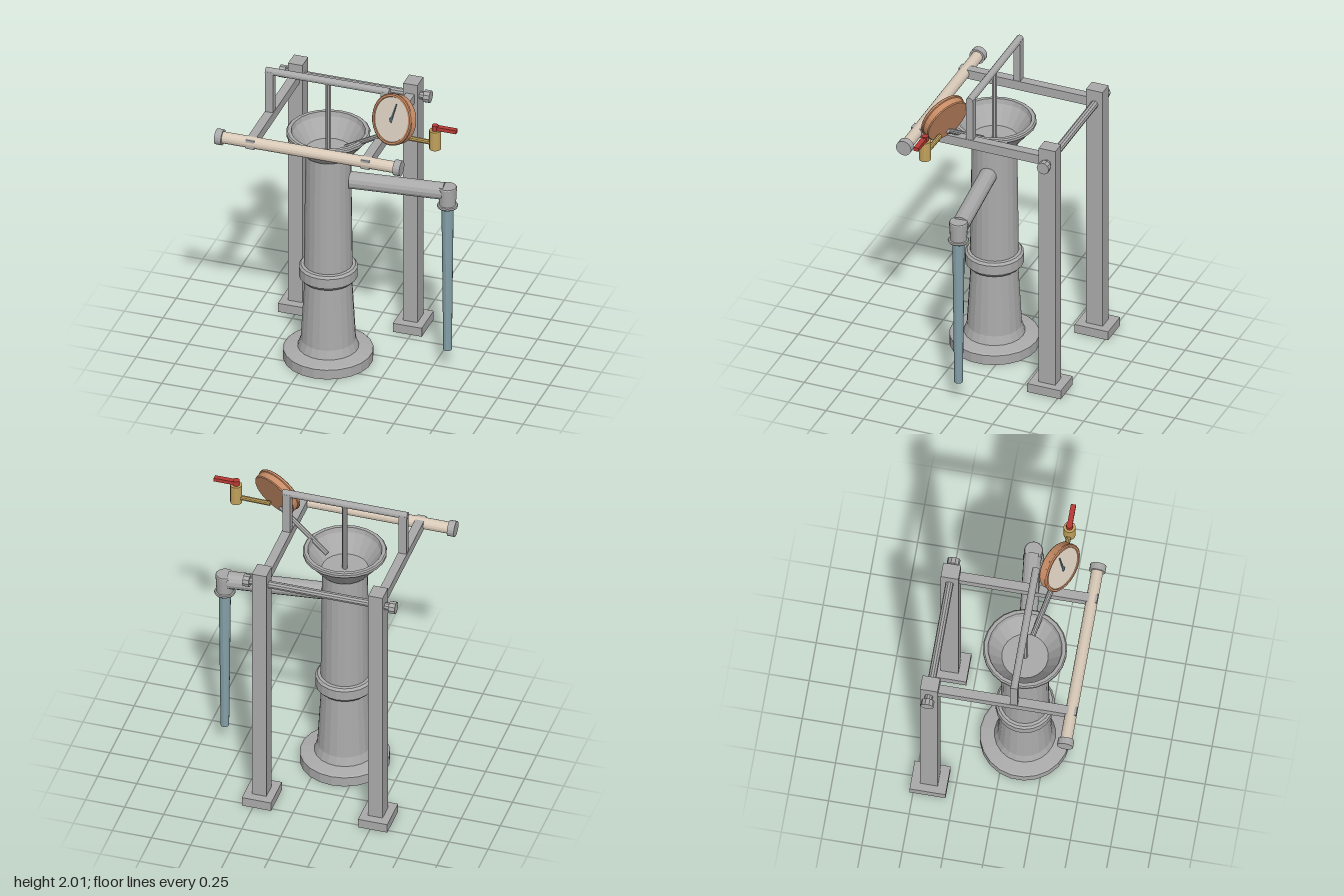
import * as THREE from 'three';

const mat = (name, color, flatShading = true) =>
  new THREE.MeshStandardMaterial({ name, color, flatShading, side: THREE.DoubleSide });

export function createModel() {
  const model = new THREE.Group();
  model.name = 'handPump';

  const steel = mat('steel grey', 0xaaaaaa);
  const wood = mat('pale wood', 0xd9cab8);
  const copper = mat('copper', 0xc88c66);
  const brass = mat('brass', 0xc2a25c);
  const red = mat('valve red', 0xb83a34);
  const hoseBlue = mat('hose blue grey', 0x84a0a8);
  const dialCream = mat('dial cream', 0xdccfc0);
  const needleDark = mat('needle slate', 0x4a6068);

  const add = (name, geo, material, x = 0, y = 0, z = 0, parent = model) => {
    const mesh = new THREE.Mesh(geo, material);
    mesh.name = name;
    mesh.position.set(x, y, z);
    parent.add(mesh);
    return mesh;
  };
  const box = (name, w, h, d, m, x, y, z) => add(name, new THREE.BoxGeometry(w, h, d), m, x, y, z);
  const lathe = (pts, sides) => new THREE.LatheGeometry(pts.map(p => new THREE.Vector2(...p)), sides);
  const UP = new THREE.Vector3(0, 1, 0);
  // Round bar between two points
  const rod = (name, a, b, r, m, sides = 12) => {
    const p = new THREE.Vector3(...a), q = new THREE.Vector3(...b);
    const mid = p.clone().add(q).multiplyScalar(0.5);
    const mesh = add(name, new THREE.CylinderGeometry(r, r, p.distanceTo(q), sides), m, mid.x, mid.y, mid.z);
    mesh.quaternion.setFromUnitVectors(UP, q.sub(p).normalize());
    return mesh;
  };

  // Pump column: hollow foot, tapered barrel, collar and open funnel with a floor
  const cx = -0.142, cz = 0.114;
  add('pumpColumn', lathe([
    [0.277, 0], [0.277, 0.065], [0.268, 0.072], [0.188, 0.085], [0.17, 0.14], [0.146, 0.56],
    [0.165, 0.565], [0.181, 0.585], [0.181, 0.65], [0.168, 0.665], [0.15, 0.668],
    [0.14, 1.45], [0.15, 1.452], [0.25, 1.575], [0.258, 1.58], [0.258, 1.598], [0.25, 1.606],
    [0.228, 1.606], [0.22, 1.575], [0.143, 1.465], [0, 1.465],
  ], 22), steel, cx, 0, cz);

  // Spout, elbow and hanging hose
  rod('spout', [-0.005, 1.272, 0.1], [0.58, 1.268, 0.036], 0.055, steel, 14);
  const hx = 0.603, hz = 0.038;
  add('spoutElbow', lathe([
    [0, 1.165], [0.062, 1.165], [0.066, 1.172], [0.062, 1.18], [0.052, 1.182],
    [0.058, 1.3], [0.054, 1.307], [0, 1.307],
  ], 18), steel, hx, 0, hz);
  add('hose', new THREE.CylinderGeometry(0.038, 0.027, 1.01, 12), hoseBlue, hx, 0.66, hz);

  // Rear legs, swinging arms and bridge posts, one set per side
  const legZ = -0.41, armY = 1.643, pipeZ = 0.466;
  for (const [side, x] of [['right', -0.517], ['left', 0.227]]) {
    box(side + 'FootPlate', 0.187, 0.06, 0.223, steel, x, 0.03, legZ);
    box(side + 'Leg', 0.092, 1.68, 0.11, steel, x, 0.9, legZ);
    box(side + 'Arm', 0.056, 0.062, 0.91, steel, x, armY, 0.045);
    box(side + 'BridgePost', 0.05, 0.3, 0.046, steel, x, 1.805, cz);
  }

  // Hinge axle with end nuts
  rod('axle', [-0.62, armY, legZ], [0.33, armY, legZ], 0.025, steel, 10);
  for (const x of [-0.613, 0.321])
    rod('axleNut', [x - 0.02, armY, legZ], [x + 0.02, armY, legZ], 0.04, steel, 10);

  // Wooden handle with end caps
  rod('handle', [-0.71, armY, pipeZ], [0.42, armY, pipeZ], 0.037, wood, 16);
  for (const x of [-0.722, 0.432])
    rod('handleCap', [x - 0.022, armY, pipeZ], [x + 0.022, armY, pipeZ], 0.05, steel, 16);

  // Bridge bar and piston rod
  rod('bridgeBar', [-0.545, 1.952, cz], [0.255, 1.952, cz], 0.023, steel);
  rod('pistonRod', [cx, 1.46, cz], [cx, 1.95, cz], 0.017, steel, 8);

  // Stem from the funnel to the gauge
  rod('gaugeStem', [-0.02, 1.525, 0.142], [0.31, 1.745, 0.235], 0.017, steel, 10);

  // Pressure gauge, leaning back and turned
  const gauge = new THREE.Group();
  gauge.name = 'gauge';
  gauge.position.set(0.332, 1.846, 0.245);
  gauge.lookAt(gauge.position.clone().add(new THREE.Vector3(-0.42, 0.33, 0.845)));
  model.add(gauge);
  const shell = add('gaugeCase', lathe([
    [0, -0.032], [0.15, -0.032], [0.155, -0.026], [0.155, 0.012], [0.161, 0.016],
    [0.161, 0.028], [0.154, 0.034], [0.142, 0.034], [0.138, 0.026], [0, 0.026],
  ], 28), copper, 0, 0, 0, gauge);
  shell.rotation.x = Math.PI / 2;
  add('dial', new THREE.CircleGeometry(0.139, 28), dialCream, 0, 0, 0.028, gauge);
  add('needleHub', new THREE.CircleGeometry(0.016, 12), needleDark, 0, 0, 0.034, gauge);
  const pointer = new THREE.Shape([[-0.008, -0.02], [0.008, -0.02], [0.004, 0.105], [-0.004, 0.105]]
    .map(p => new THREE.Vector2(...p)));
  const needle = add('needle', new THREE.ExtrudeGeometry(pointer, { depth: 0.004, bevelEnabled: false }),
    needleDark, 0, 0, 0.029, gauge);
  needle.rotation.z = -0.1;

  // Brass outlet with a red lever valve
  const vx = 0.6, vz = 0.262;
  rod('outletPipe', [0.38, 1.738, vz - 0.005], [vx, 1.738, vz], 0.016, brass, 10);
  rod('valveBody', [vx, 1.7, vz], [vx, 1.83, vz], 0.037, brass, 14);
  rod('valveStem', [vx, 1.828, vz], [vx, 1.865, vz], 0.021, red, 12);
  box('valveLever', 0.138, 0.024, 0.032, red, 0.671, 1.847, vz);

  return model;
}
